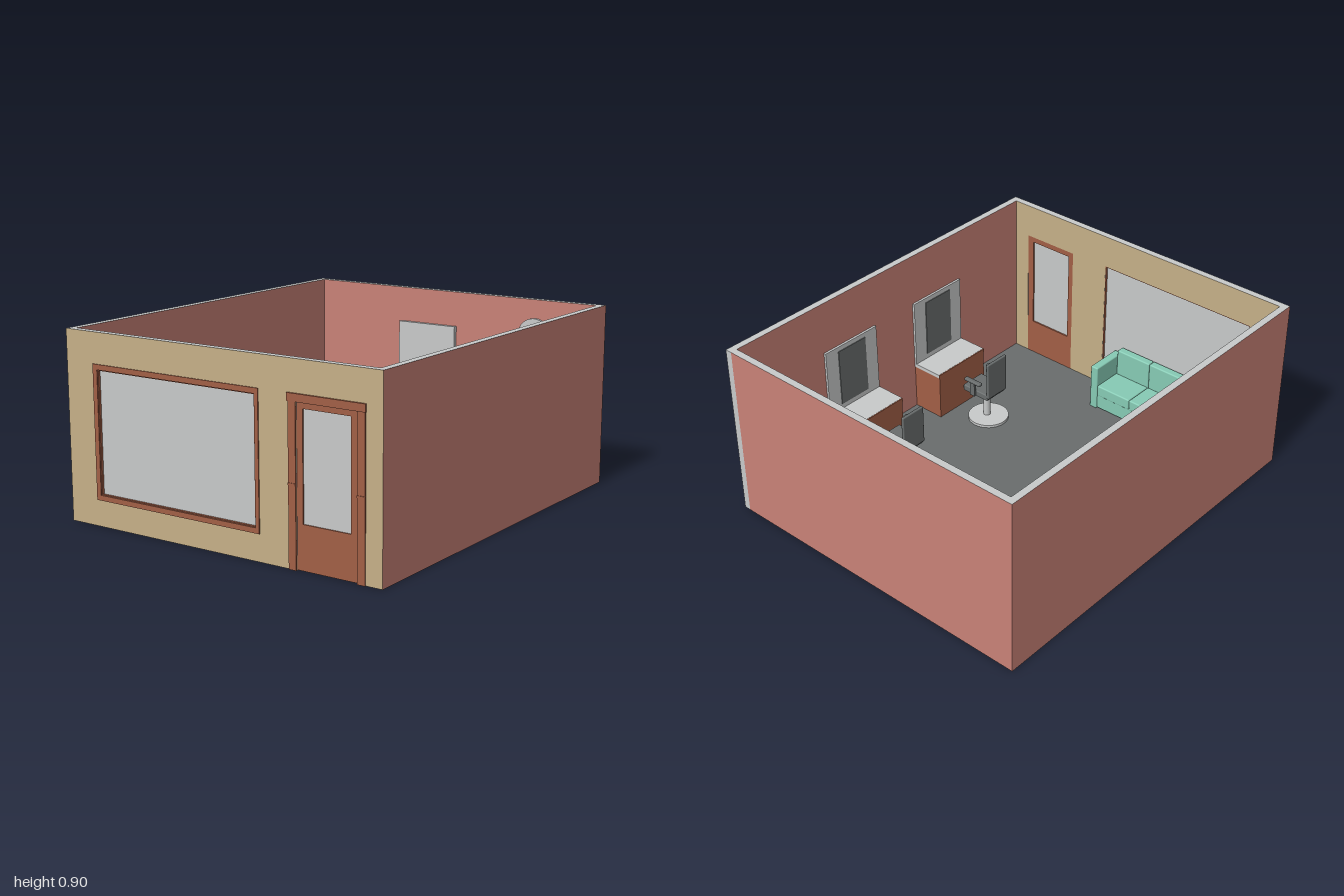
import * as THREE from 'three';
import { RoundedBoxGeometry } from 'three/addons/geometries/RoundedBoxGeometry.js';

const mat = (name, color) => Object.assign(new THREE.MeshStandardMaterial({ color }), { name });

export function createModel() {
  const salmon = mat('salmonWall', 0xc98277);
  const tan = mat('tanWall', 0xc6b088);
  const light = mat('lightGrey', 0xc8caca);
  const dark = mat('darkGrey', 0x696d6d);
  const brown = mat('brownWood', 0xa25f46);
  const mint = mat('mintUpholstery', 0x87cbb5);

  const model = new THREE.Group();
  model.name = 'salonRoom';

  const add = (parent, name, geometry, material) => {
    const mesh = new THREE.Mesh(geometry, material);
    mesh.name = name;
    parent.add(mesh);
    return mesh;
  };
  // Box given by its minimum and maximum corners
  const box = (parent, name, material, [x0, y0, z0], [x1, y1, z1], radius = 0) => {
    const size = [x1 - x0, y1 - y0, z1 - z0];
    const geometry = radius ? new RoundedBoxGeometry(...size, 2, radius) : new THREE.BoxGeometry(...size);
    geometry.translate((x0 + x1) / 2, (y0 + y1) / 2, (z0 + z1) / 2);
    return add(parent, name, geometry, material);
  };
  const rect = (x0, y0, x1, y1, Type = THREE.Path) =>
    new Type([[x0, y0], [x1, y0], [x1, y1], [x0, y1]].map(p => new THREE.Vector2(...p)));
  const extrude = (parent, name, material, shape, z0, z1) => {
    const geometry = new THREE.ExtrudeGeometry(shape, { depth: z1 - z0, bevelEnabled: false });
    geometry.translate(0, 0, z0);
    return add(parent, name, geometry, material);
  };
  // Rectangular plate with one rectangular opening
  const ring = (name, material, outer, inner, z0, z1) => {
    const shape = rect(...outer, THREE.Shape);
    shape.holes.push(rect(...inner));
    return extrude(model, name, material, shape, z0, z1);
  };

  // Floor and walls; cut edges of the walls are light grey
  box(model, 'floor', dark, [-0.82, 0.002, -0.965], [0.82, 0.012, 0.955]);
  box(model, 'rightWall', [salmon, salmon, light, light, tan, light], [0.82, 0, -1], [0.855, 0.9, 0.99]);
  box(model, 'leftWall', [salmon, salmon, light, light, tan, light], [-0.855, 0, -0.965], [-0.82, 0.9, 0.99]);
  box(model, 'backWall', [salmon, salmon, light, salmon, salmon, salmon], [-0.855, 0, -1], [0.82, 0.9, -0.965]);

  // Front wall with a doorway notch and a window opening
  const front = new THREE.Shape([
    [-0.82, 0], [0.43, 0], [0.43, 0.725], [0.735, 0.725], [0.735, 0], [0.82, 0], [0.82, 0.9], [-0.82, 0.9],
  ].map(p => new THREE.Vector2(...p)));
  const pane = [-0.67, 0.15, 0.215, 0.73];
  front.holes.push(rect(...pane));
  extrude(model, 'frontWall', [tan, light], front, 0.955, 0.99);

  // Shop window
  ring('windowFrame', brown, [-0.695, 0.125, 0.235, 0.755], pane, 0.99, 0.995);
  ring('windowLining', brown, pane, [-0.666, 0.154, 0.211, 0.726], 0.956, 0.99);
  box(model, 'windowGlass', light, [-0.668, 0.152, 0.968], [0.213, 0.728, 0.978]);

  // Door with glass, jambs and header
  ring('doorLeaf', brown, [0.43, 0.003, 0.735, 0.725], [0.46, 0.205, 0.7, 0.695], 0.957, 0.988);
  box(model, 'doorGlass', light, [0.46, 0.205, 0.965], [0.7, 0.695, 0.982]);
  for (const x of [0.39, 0.735]) {
    box(model, 'doorJamb', brown, [x, 0, 0.99], [x + 0.038, 0.725, 0.996]);
    box(model, 'jambBand', brown, [x, 0.366, 0.99], [x + 0.039, 0.376, 0.999]);
  }
  box(model, 'doorHeader', brown, [0.387, 0.722, 0.985], [0.776, 0.757, 1]);

  // Back wall picture and clock
  box(model, 'wallPanel', light, [-0.315, 0.39, -0.965], [0.025, 0.72, -0.944]);
  const clock = add(model, 'wallClock', new THREE.CylinderGeometry(0.09, 0.09, 0.016, 32).rotateX(Math.PI / 2), light);
  clock.position.set(0.485, 0.715, -0.957);

  // Styling stations: desk, mirror and swivel chair
  for (const z of [-0.285, 0.325]) {
    const station = new THREE.Group();
    station.name = 'stylingStation';
    station.position.z = z;
    model.add(station);
    box(station, 'deskBody', brown, [0.647, 0.012, -0.168], [0.82, 0.252, 0.168]);
    box(station, 'deskTop', light, [0.65, 0.252, -0.17], [0.82, 0.272, 0.17]);
    box(station, 'deskEdge', brown, [0.645, 0.252, -0.17], [0.65, 0.271, 0.17]);
    box(station, 'mirrorFrame', light, [0.808, 0.272, -0.17], [0.82, 0.63, 0.17]);
    box(station, 'mirrorGlass', dark, [0.804, 0.3, -0.09], [0.808, 0.605, 0.09]);

    const base = add(station, 'chairBase', new THREE.CylinderGeometry(0.105, 0.105, 0.014, 32), light);
    base.position.set(0.465, 0.019, 0);
    const column = add(station, 'chairColumn', new THREE.CylinderGeometry(0.018, 0.018, 0.15, 16), light);
    column.position.set(0.475, 0.1, 0);
    box(station, 'chairSeat', dark, [0.41, 0.165, -0.07], [0.575, 0.2, 0.07], 0.006);
    box(station, 'chairBack', dark, [0.4, 0.18, -0.07], [0.416, 0.385, 0.07], 0.005);
    for (const s of [-1, 1]) {
      const [a, b] = s > 0 ? [0.07, 0.095] : [-0.095, -0.07];
      box(station, 'armrest', dark, [0.44, 0.25, a], [0.545, 0.266, b], 0.005);
      box(station, 'armSupport', dark, [0.48, 0.175, a + 0.006], [0.51, 0.252, b - 0.006]);
    }
  }

  // Three-seat sofa, built facing +z and centred on its footprint
  const sofa = (x, z, turn) => {
    const g = new THREE.Group();
    g.name = 'sofa';
    g.position.set(x, 0.012, z);
    g.rotation.y = turn;
    model.add(g);
    for (const s of [-0.355, 0.311]) {
      box(g, 'sofaArm', mint, [s, 0, -0.103], [s + 0.044, 0.25, 0.103], 0.007);
    }
    box(g, 'sofaBase', mint, [-0.31, 0.01, -0.1], [0.31, 0.09, 0.098]);
    for (let i = 0; i < 3; i++) {
      const a = -0.31 + i * 0.2067;
      box(g, 'seatCushion', mint, [a, 0.085, -0.06], [a + 0.205, 0.145, 0.103], 0.007);
      box(g, 'backCushion', mint, [a, 0.085, -0.103], [a + 0.205, 0.285, -0.06], 0.007);
    }
  };
  sofa(-0.703, 0.09, Math.PI / 2);
  sofa(-0.227, 0.85, Math.PI);

  return model;
}
